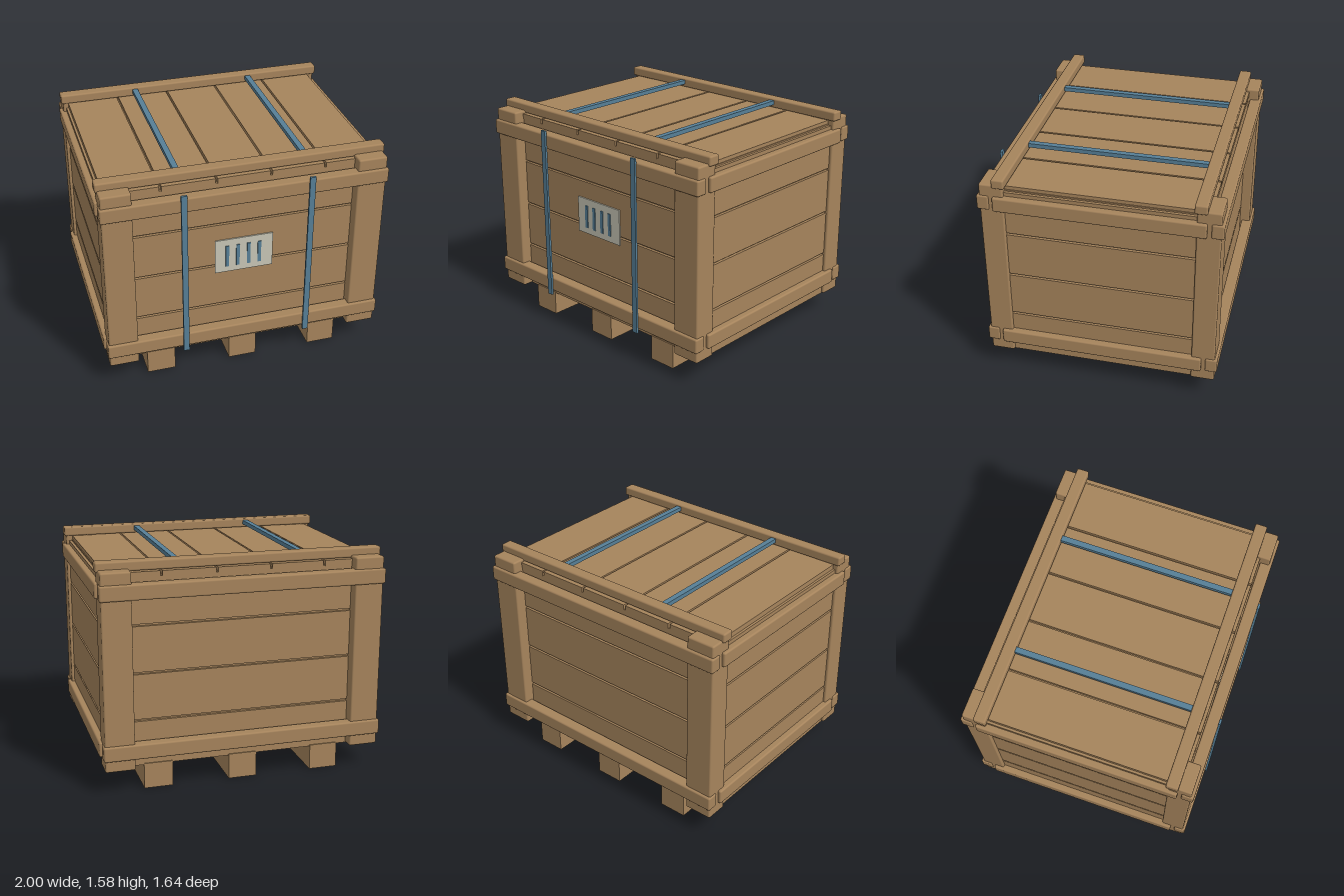
import * as THREE from 'three';
import { RoundedBoxGeometry } from 'three/addons/geometries/RoundedBoxGeometry.js';

const material = (name, color) => {
  const m = new THREE.MeshStandardMaterial({ color });
  m.name = name;
  return m;
};

export function createModel() {
  const wood = material('crate wood', 0xa6845c);
  const steel = material('blue strapping', 0x567f97);
  const paper = material('pale label', 0xc8c6b6);

  const crate = new THREE.Group();
  crate.name = 'crate';

  // Box given by its min and max on each axis; bevel > 0 softens the edges
  const block = (name, mat, [x0, x1], [y0, y1], [z0, z1], bevel = 0) => {
    const size = [x1 - x0, y1 - y0, z1 - z0];
    const geometry = bevel
      ? new RoundedBoxGeometry(...size, 2, bevel)
      : new THREE.BoxGeometry(...size);
    const mesh = new THREE.Mesh(geometry, mat);
    mesh.name = name;
    mesh.position.set((x0 + x1) / 2, (y0 + y1) / 2, (z0 + z1) / 2);
    crate.add(mesh);
  };
  // Range mirrored to the chosen side of an axis
  const span = (side, a, b) => (side > 0 ? [a, b] : [-b, -a]);

  // Solid core behind the plank gaps
  block('core', wood, [-0.935, 0.935], [0.175, 1.485], [-0.7, 0.7]);

  // Skids
  for (const x of [-0.6, 0, 0.6]) {
    block('skid', wood, [x - 0.1, x + 0.1], [0, 0.18], [-0.728, 0.728]);
  }

  // Horizontal wall planks
  for (let i = 0; i < 4; i++) {
    const y = [0.17 + i * 0.33, 0.17 + i * 0.33 + 0.315];
    for (const side of [-1, 1]) {
      block('endPlank', wood, [-0.94, 0.94], y, span(side, 0.68, 0.72));
      block('sidePlank', wood, span(side, 0.915, 0.955), y, [-0.7, 0.7]);
    }
  }

  // Lid planks, running front to back
  for (let i = 0; i < 5; i++) {
    const x = (i - 2) * 0.376 - 0.005;
    block('lidPlank', wood, [x - 0.181, x + 0.181], [1.472, 1.51], [-0.725, 0.725]);
  }

  // Corner posts
  for (const sx of [-1, 1]) {
    for (const sz of [-1, 1]) {
      block('cornerPost', wood, span(sx, 0.772, 0.977), [0.17, 1.53], span(sz, 0.635, 0.797), 0.012);
    }
  }

  // Rails around the crate, and lid cleats
  for (const side of [-1, 1]) {
    for (const y of [0.25, 1.343]) {
      block('endRail', wood, [-0.987, 0.987], [y, y + 0.105], span(side, 0.732, 0.815), 0.012);
      block('sideRail', wood, span(side, 0.92, 1), [y, y + 0.105], [-0.705, 0.705], 0.012);
    }
    block('lidCleat', wood, [-0.99, 0.99], [1.513, 1.58], span(side, 0.62, 0.705), 0.012);
  }

  // Straps on the lid and the front
  for (const x of [-0.438, 0.438]) {
    block('lidStrap', steel, [x - 0.02, x + 0.02], [1.537, 1.567], [-0.63, 0.63]);
    block('frontStrap', steel, [x - 0.02, x + 0.02], [0.22, 1.475], [0.813, 0.829]);
  }

  // Label with four bars
  block('label', paper, [-0.205, 0.205], [0.765, 1.025], [0.721, 0.73]);
  for (const x of [-0.119, -0.044, 0.033, 0.109]) {
    block('labelBar', steel, [x - 0.012, x + 0.012], [0.81, 0.975], [0.729, 0.736]);
  }

  crate.position.z = -0.005;
  const model = new THREE.Group();
  model.name = 'shippingCrate';
  model.add(crate);
  return model;
}
